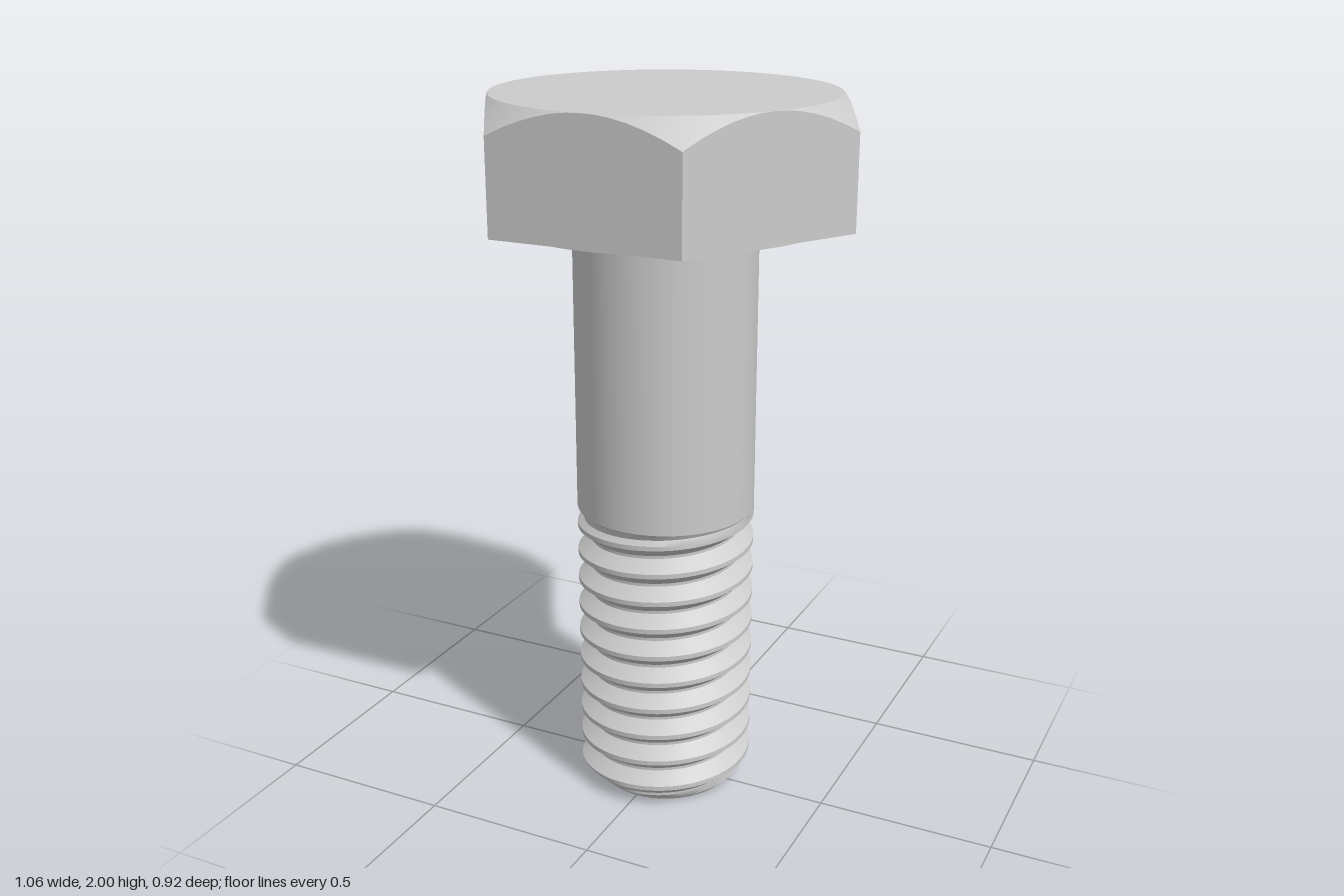
import * as THREE from 'three';
import { toCreasedNormals } from 'three/addons/utils/BufferGeometryUtils.js';

const SEG = 72;
const R = 0.25;           // shank and thread crest radius
const ROOT = 0.212;       // thread root radius
const PITCH = 1 / 12;
const THREAD_TOP = 0.855;
const FLAT = 0.46;        // half the width across the head's flats
const HEAD_TOP = 2, HEAD_BASE = 1.675;

const material = new THREE.MeshStandardMaterial({ color: 0xcccccc });

// Skins rings stacked from bottom to top; ring(i, angle) returns [radius, y]
function skin(name, count, ring) {
  const pos = [];
  const point = (i, j) => {
    const a = (j / SEG) * Math.PI * 2;
    const [r, y] = ring(i, a);
    return new THREE.Vector3(r * Math.sin(a), y, r * Math.cos(a));
  };
  const tri = (a, b, c) => {
    const area = b.clone().sub(a).cross(c.clone().sub(a)).length();
    if (area > 1e-8) pos.push(...a.toArray(), ...b.toArray(), ...c.toArray());
  };
  for (let i = 0; i < count - 1; i++) {
    for (let j = 0; j < SEG; j++) {
      const a = point(i, j), b = point(i, j + 1);
      const c = point(i + 1, j + 1), d = point(i + 1, j);
      tri(a, b, c);
      tri(a, c, d);
    }
  }
  const geo = new THREE.BufferGeometry();
  geo.setAttribute('position', new THREE.Float32BufferAttribute(pos, 3));
  const mesh = new THREE.Mesh(toCreasedNormals(geo, 0.5), material);
  mesh.name = name;
  return mesh;
}

// Hexagon radius with corners on the x axis
function hexRadius(a) {
  const step = Math.PI / 3;
  const off = a - Math.round(a / step) * step;
  return FLAT / Math.cos(off);
}

// Hexagonal head cut by a 45 degree cone at the top
function makeHead() {
  return skin('hexHead', 5, (i, a) => {
    const h = hexRadius(a);
    return [
      [0, HEAD_BASE],
      [h, HEAD_BASE],
      [h, HEAD_TOP - (h - FLAT)],
      [FLAT, HEAD_TOP],
      [0, HEAD_TOP],
    ][i];
  });
}

// Right-handed V thread with a chamfered tip and a fading run-out
function makeThread() {
  const stops = [0, 0.08, 0.25, 0.45, 0.55, 0.75, 0.92];   // fractions of one pitch
  const rows = [];
  for (let turn = -1; turn <= 11; turn++) stops.forEach((s) => rows.push(turn + s));

  const radius = (y, a) => {
    const turns = y / PITCH - (a - Math.PI / 2) / (Math.PI * 2);
    const fromCrest = Math.abs(turns - Math.round(turns));
    const groove = THREE.MathUtils.clamp((fromCrest - 0.08) / 0.37, 0, 1);
    const fade = THREE.MathUtils.clamp((THREAD_TOP - y) / 0.035, 0, 1);
    return Math.min(R - (R - ROOT) * groove * fade, 0.195 + y);
  };
  return skin('threadedEnd', rows.length + 1, (i, a) => {
    if (i === 0) return [0, 0];
    const y = PITCH * (rows[i - 1] + (a - Math.PI / 2) / (Math.PI * 2));
    const yc = THREE.MathUtils.clamp(y, 0, THREAD_TOP);
    return [radius(yc, a), yc];
  });
}

function cylinder(name, r, y0, y1) {
  const mesh = new THREE.Mesh(new THREE.CylinderGeometry(r, r, y1 - y0, SEG), material);
  mesh.position.y = (y0 + y1) / 2;
  mesh.name = name;
  return mesh;
}

export function createModel() {
  const bolt = new THREE.Group();
  bolt.name = 'hexBolt';
  bolt.add(
    makeHead(),
    cylinder('bearingFace', 0.455, HEAD_BASE - 0.004, HEAD_BASE + 0.01),
    cylinder('shank', R, THREAD_TOP, HEAD_BASE),
    makeThread(),
  );
  return bolt;
}
